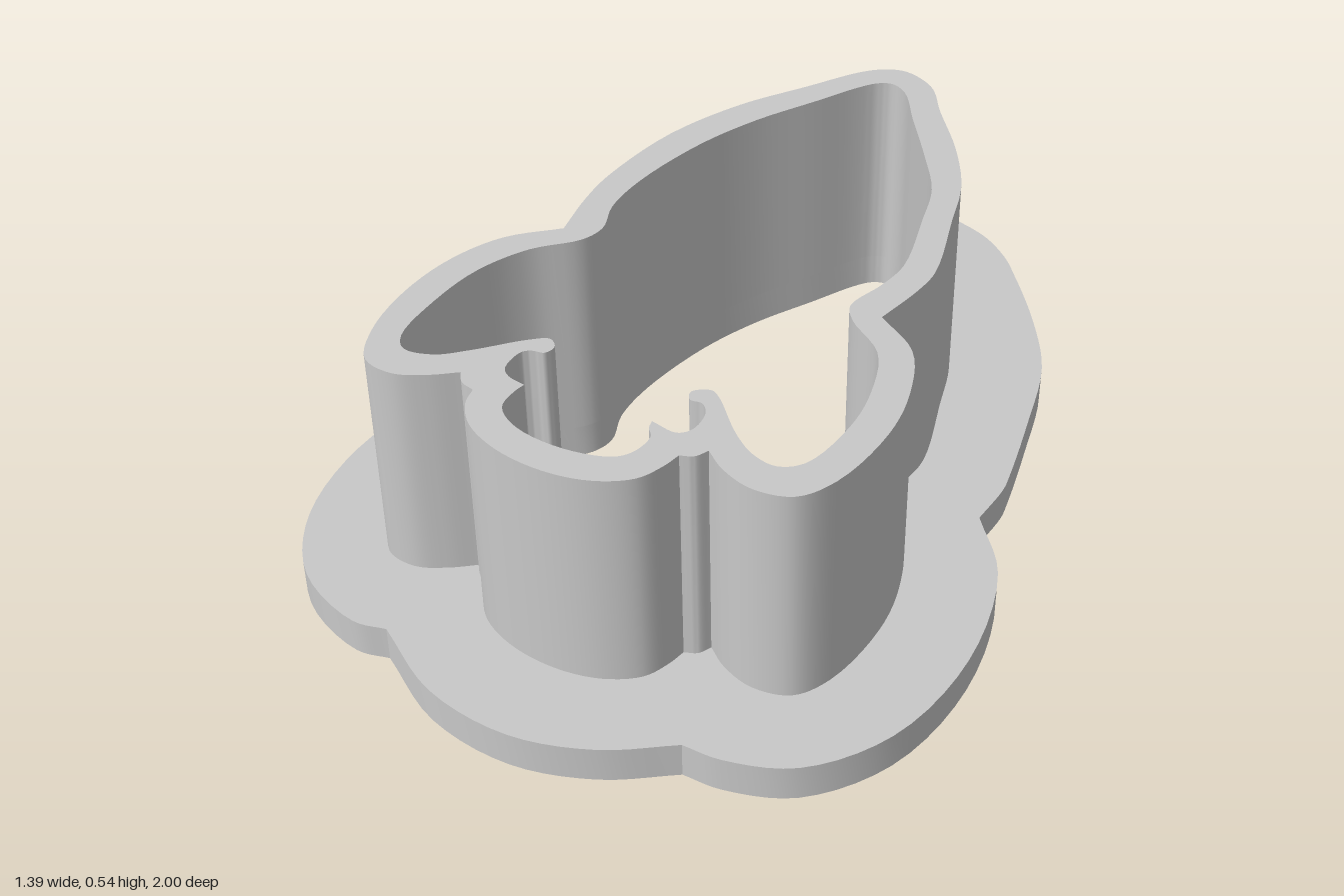
import * as THREE from 'three';
import { toCreasedNormals } from 'three/addons/utils/BufferGeometryUtils.js';

const BASE_TOP = 0.075, WALL_TOP = 0.54;

// Outlines are [x, z] runs of smooth curve; each run starts at a sharp corner
// and ends at the first point of the next run.
const flangeOutline = [
  // pointed back half
  [[-0.55, 0.03], [-0.565, -0.08], [-0.545, -0.21], [-0.49, -0.42], [-0.405, -0.62], [-0.275, -0.83],
    [-0.22, -0.91], [-0.13, -0.975], [-0.01, -1], [0.15, -0.955], [0.24, -0.885], [0.295, -0.815],
    [0.405, -0.65], [0.485, -0.49], [0.53, -0.28], [0.56, -0.1], [0.565, -0.05]],
  // left lobe
  [[0.555, 0.055], [0.65, 0.195], [0.692, 0.45], [0.645, 0.69], [0.53, 0.835], [0.4, 0.88]],
  // front lobe
  [[0.32, 0.88], [0.19, 0.96], [0.03, 1], [-0.155, 0.97]],
  // right lobe
  [[-0.32, 0.87], [-0.39, 0.88], [-0.55, 0.81], [-0.655, 0.66], [-0.695, 0.435], [-0.655, 0.21]],
];

const wallOutline = [
  // pointed back half
  [[-0.355, 0.12], [-0.375, 0], [-0.38, -0.105], [-0.35, -0.32], [-0.275, -0.505], [-0.18, -0.65],
    [-0.1, -0.77], [-0.06, -0.805], [-0.01, -0.82], [0.07, -0.78], [0.135, -0.68], [0.23, -0.54],
    [0.3, -0.4], [0.335, -0.265], [0.38, -0.07], [0.375, 0.005]],
  // left lobe and notch
  [[0.35, 0.12], [0.445, 0.195], [0.495, 0.32], [0.51, 0.45], [0.485, 0.61], [0.44, 0.68],
    [0.365, 0.695], [0.295, 0.67]],
  [[0.25, 0.635], [0.235, 0.66]],
  // front lobe
  [[0.21, 0.67], [0.2, 0.71], [0.175, 0.76], [0.11, 0.8], [0.02, 0.815], [-0.085, 0.8],
    [-0.165, 0.76], [-0.205, 0.71]],
  // right notch and lobe
  [[-0.215, 0.67], [-0.245, 0.66]],
  [[-0.265, 0.635], [-0.315, 0.67], [-0.375, 0.695], [-0.445, 0.68], [-0.49, 0.595], [-0.51, 0.46],
    [-0.495, 0.32], [-0.445, 0.205]],
];

const opening = [
  // right hook, right lobe, pointed back, left lobe and left hook
  [[-0.14, 0.615], [-0.18, 0.605], [-0.2, 0.585], [-0.2, 0.53], [-0.185, 0.517], [-0.16, 0.512],
    [-0.153, 0.488], [-0.175, 0.468], [-0.21, 0.49], [-0.285, 0.565], [-0.34, 0.61], [-0.4, 0.62],
    [-0.43, 0.585], [-0.44, 0.46], [-0.425, 0.33], [-0.375, 0.22], [-0.3, 0.14], [-0.285, 0.085],
    [-0.31, 0], [-0.31, -0.115], [-0.27, -0.31], [-0.21, -0.46], [-0.13, -0.6], [-0.07, -0.705],
    [-0.04, -0.74], [-0.01, -0.75], [0.03, -0.725], [0.095, -0.62], [0.18, -0.485], [0.25, -0.36],
    [0.28, -0.24], [0.315, -0.065], [0.305, 0.015], [0.28, 0.11], [0.305, 0.155], [0.39, 0.23],
    [0.43, 0.345], [0.44, 0.46], [0.415, 0.59], [0.375, 0.62], [0.325, 0.61], [0.27, 0.57],
    [0.19, 0.485], [0.17, 0.475], [0.14, 0.495], [0.15, 0.518], [0.175, 0.518], [0.195, 0.545],
    [0.195, 0.595], [0.175, 0.615]],
  // front lobe
  [[0.12, 0.605], [0.125, 0.625], [0.14, 0.645], [0.135, 0.695], [0.11, 0.725], [0.02, 0.745],
    [-0.085, 0.73], [-0.14, 0.69], [-0.145, 0.64]],
];

// Sample the runs into one closed loop, in the XY plane with y = -z
function traceLoop(runs) {
  return runs.flatMap((run, i) => {
    const knots = [...run, runs[(i + 1) % runs.length][0]];
    const curve = new THREE.CatmullRomCurve3(
      knots.map(([x, z]) => new THREE.Vector3(x, -z, 0)), false, 'centripetal');
    return curve.getPoints((knots.length - 1) * 5).slice(0, -1)
      .map((p) => new THREE.Vector2(p.x, p.y));
  });
}

// Upright ring between an outline and the shared opening
function ring(name, outline, bottom, top, material) {
  const shape = new THREE.Shape(traceLoop(outline));
  // the hole runs against the outline so its walls face inwards
  shape.holes.push(new THREE.Path(traceLoop(opening).reverse()));
  const extruded = new THREE.ExtrudeGeometry(shape, { depth: top - bottom, bevelEnabled: false });
  extruded.rotateX(-Math.PI / 2).translate(0, bottom, 0);
  const mesh = new THREE.Mesh(toCreasedNormals(extruded, 0.5), material);
  mesh.name = name;
  return mesh;
}

export function createModel() {
  const grey = new THREE.MeshStandardMaterial({ color: 0xc8c8c8 });
  grey.name = 'grey plastic';

  const model = new THREE.Group();
  model.name = 'cookieCutter';
  model.add(
    ring('baseFlange', flangeOutline, 0, BASE_TOP, grey),
    ring('cuttingWall', wallOutline, BASE_TOP, WALL_TOP, grey),
  );
  return model;
}
